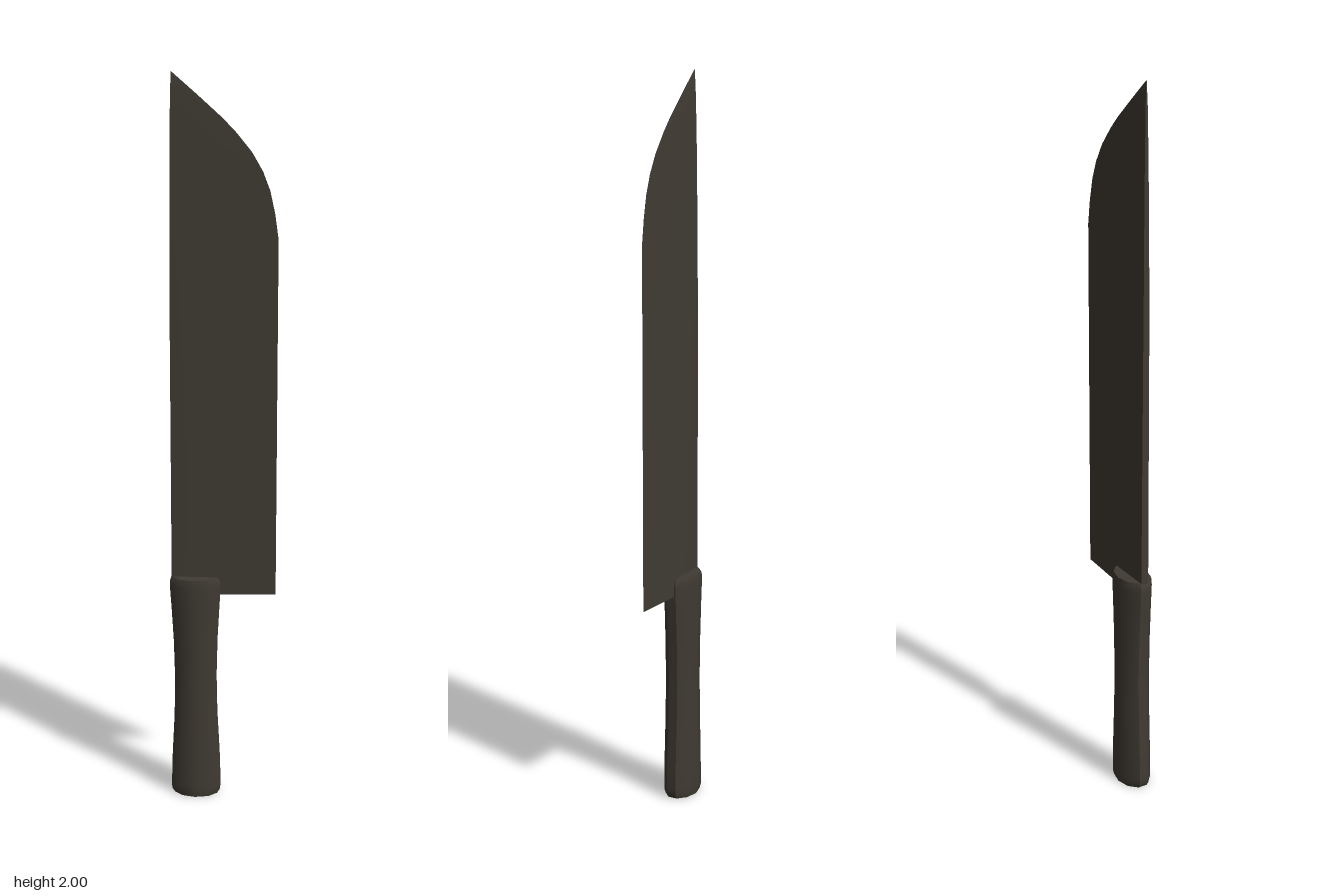
import * as THREE from 'three';
import { toCreasedNormals } from 'three/addons/utils/BufferGeometryUtils.js';

// Skin a stack of rings (counter-clockwise seen from above) and cap both ends.
function loft(rings, crease) {
  const n = rings[0].length;
  const index = [];
  for (let i = 0; i < rings.length - 1; i++) {
    for (let j = 0; j < n; j++) {
      const a = i * n + j, b = i * n + (j + 1) % n;
      index.push(a, b, b + n, a, b + n, a + n);
    }
  }
  const top = (rings.length - 1) * n;
  for (let j = 1; j < n - 1; j++) {
    index.push(0, j + 1, j);
    index.push(top, top + j, top + j + 1);
  }
  const geometry = new THREE.BufferGeometry();
  geometry.setAttribute('position', new THREE.Float32BufferAttribute(rings.flat(2), 3));
  geometry.setIndex(index);
  return toCreasedNormals(geometry, crease);
}

export function createModel() {
  const model = new THREE.Group();
  model.name = 'knife';
  const darkSteel = new THREE.MeshStandardMaterial({ color: 0x403b33 });
  darkSteel.name = 'dark steel';

  // Handle: ten-sided oval grip, waisted in the middle with bevelled ends
  const SIDES = 10;
  const gripProfile = [ // height, scale
    [0, 0.86], [0.012, 0.97], [0.03, 0.98], [0.12, 0.94], [0.24, 0.85], [0.35, 0.82],
    [0.46, 0.86], [0.56, 0.94], [0.62, 1], [0.636, 0.99], [0.646, 0.9],
  ];
  const gripRings = gripProfile.map(([y, s]) => Array.from({ length: SIDES }, (_, j) => {
    const a = (j + 0.5) / SIDES * Math.PI * 2;
    return [-0.076 + 0.0725 * s * Math.cos(a), y, -0.045 * (0.7 + 0.3 * s) * Math.sin(a)];
  }));
  const handle = new THREE.Mesh(loft(gripRings, 0.7), darkSteel);
  handle.name = 'handle';
  model.add(handle);

  // Blade: flat near the spine, ground to a sharp edge, curving to the tip
  const bladeSections = [ // height, spine x, edge x, half thickness at the spine
    [0.597, -0.14, 0.143, 0.011], [1.35, -0.14, 0.143, 0.009], [1.575, -0.139, 0.143, 0.0075],
    [1.64, -0.138, 0.134, 0.007], [1.7, -0.138, 0.121, 0.0065], [1.75, -0.137, 0.102, 0.006],
    [1.8, -0.137, 0.073, 0.0055], [1.85, -0.136, 0.032, 0.0045], [1.885, -0.136, -0.002, 0.004],
    [1.94, -0.135, -0.063, 0.003], [2, -0.133, -0.132, 0.001],
  ];
  const bladeRings = bladeSections.map(([y, spine, edge, t]) => {
    const bevel = Math.min(0, spine + (edge - spine) * 0.55);
    return [
      [edge, y, 0], [bevel, y, -0.85 * t], [spine, y, -t],
      [spine, y, t], [bevel, y, 0.85 * t],
    ];
  });
  const blade = new THREE.Mesh(loft(bladeRings, 0.4), darkSteel);
  blade.name = 'blade';
  model.add(blade);

  return model;
}
